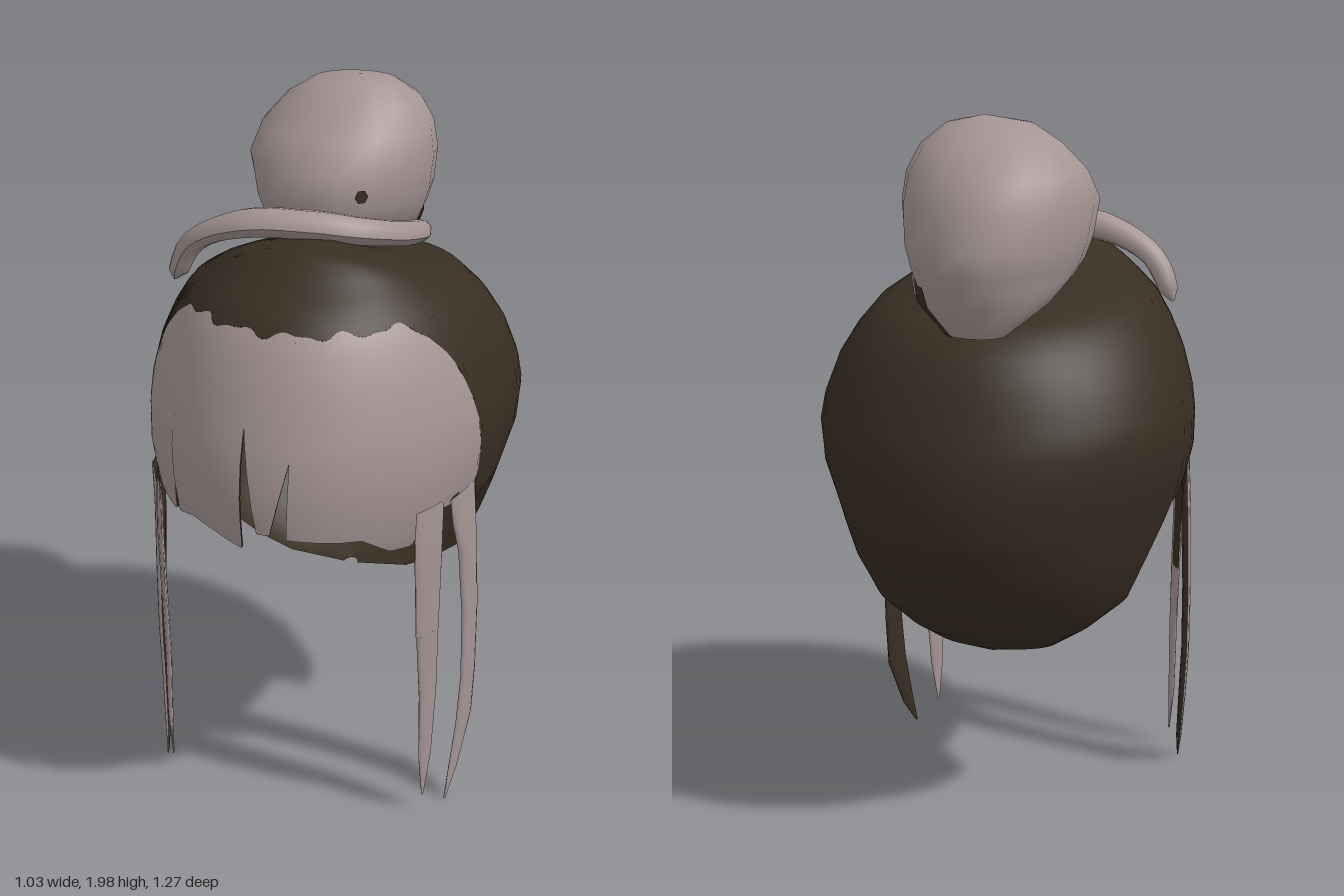
import * as THREE from 'three';
import { mergeVertices } from 'three/addons/utils/BufferGeometryUtils.js';

const { lerp, clamp } = THREE.MathUtils;

// Surface from a grid of points; i runs to the right and j upwards as seen from outside
function grid(nu, nv, point, normal) {
  const pos = [], nor = [], idx = [];
  for (let j = 0; j <= nv; j++) {
    for (let i = 0; i <= nu; i++) {
      pos.push(...point(i / nu, j / nv));
      if (normal) nor.push(...normal(i / nu, j / nv));
      if (i < nu && j < nv) {
        const a = j * (nu + 1) + i, d = a + nu + 1;
        idx.push(a, a + 1, d + 1, a, d + 1, d);
      }
    }
  }
  let g = new THREE.BufferGeometry();
  g.setAttribute('position', new THREE.Float32BufferAttribute(pos, 3));
  g.setIndex(idx);
  if (normal) g.setAttribute('normal', new THREE.Float32BufferAttribute(nor, 3));
  else { g = mergeVertices(g, 1e-4); g.computeVertexNormals(); }
  return g;
}

// Linear interpolation through [x, y] pairs
function along(pairs, x) {
  for (let i = 1; i < pairs.length; i++) {
    const [x0, y0] = pairs[i - 1], [x1, y1] = pairs[i];
    if (x <= x1) return lerp(y0, y1, clamp((x - x0) / (x1 - x0), 0, 1));
  }
  return pairs[pairs.length - 1][1];
}

// Head shell levels: y, back z, z of widest point, front z, half width
const levels = [
  [0.49, -0.23, -0.2, 0.5, 0.02], [0.515, -0.28, -0.18, 0.5, 0.18], [0.57, -0.37, -0.15, 0.55, 0.27],
  [0.65, -0.46, -0.12, 0.58, 0.365], [0.78, -0.57, -0.1, 0.6, 0.42], [0.87, -0.605, -0.07, 0.62, 0.455],
  [0.93, -0.63, -0.05, 0.63, 0.475], [1.05, -0.64, -0.08, 0.635, 0.51], [1.15, -0.625, -0.1, 0.62, 0.517],
  [1.22, -0.6, -0.09, 0.6, 0.508], [1.32, -0.56, -0.06, 0.565, 0.477], [1.4, -0.51, -0.02, 0.53, 0.435],
  [1.47, -0.43, 0.03, 0.49, 0.385], [1.52, -0.22, 0.1, 0.44, 0.32], [1.56, -0.06, 0.14, 0.38, 0.27],
  [1.6, 0.05, 0.2, 0.33, 0.2], [1.63, 0.13, 0.24, 0.29, 0.1], [1.64, 0.25, 0.25, 0.25, 0],
];
const TOP = levels.length - 1;
const levelOf = y => along(levels.map((l, i) => [l[0], i]), y);

function shellPoint(a, u) {
  u = clamp(u, 0, TOP);
  const k = Math.min(Math.floor(u), TOP - 1);
  const [y, zb, zc, zf, w] = levels[k].map((v, i) => lerp(v, levels[k + 1][i], u - k));
  const c = Math.cos(a);
  return [w * Math.sin(a), y, zc + c * (c > 0 ? zf - zc : zc - zb)];
}
function shellNormal(a, u) {
  u = Math.min(u, TOP - 0.05);
  const v = (p, q) => new THREE.Vector3(...p).sub(new THREE.Vector3(...q));
  const da = v(shellPoint(a + 0.05, u), shellPoint(a - 0.05, u));
  const du = v(shellPoint(a, u + 0.6), shellPoint(a, u - 0.6));
  return da.cross(du).normalize().toArray();
}
// Part of the shell between two angles and two height curves
function shellPatch(a0, a1, nu, nv, low, high, inset = 1) {
  const at = (s, t) => {
    const a = lerp(a0, a1, s);
    return [a, lerp(levelOf(low(a)), levelOf(high(a)), t)];
  };
  return grid(nu, nv, (s, t) => {
    const [x, y, z] = shellPoint(...at(s, t));
    return [x * inset, y, z * inset];
  }, (s, t) => shellNormal(...at(s, t)));
}

// Stacked ellipses: rows are y, centre x, centre z, half x, half z, sideways shear, swelling
function loft(rows, a0, a1, nu, shear = 0, swell = 0) {
  return grid(nu, rows.length - 1, (s, t) => {
    const [y, x, z, hx, hz] = rows[Math.round(t * (rows.length - 1))];
    const a = lerp(a0, a1, s), dz = (hz + swell) * Math.cos(a);
    return [x + (hx + swell) * Math.sin(a) + shear * dz, y, z + dz];
  });
}

export function createModel() {
  const group = new THREE.Group();
  const dark = new THREE.MeshStandardMaterial({ color: 0x382e22, side: THREE.DoubleSide });
  dark.name = 'dark brown';
  const pale = new THREE.MeshStandardMaterial({ color: 0xa59494 });
  pale.name = 'dusty pink';
  const add = (name, geometry, material) => {
    const m = new THREE.Mesh(geometry, material);
    m.name = name;
    group.add(m);
    return m;
  };

  // Cap: bowl at the back, side strips above the ears, crown above the fringe (edges overlap a little)
  const EDGE = 1.24, HALF = Math.PI / 2, LAP = 0.03;
  const top = () => 1.64;
  const fringeTop = a => along([[0, 1.475], [0.9, 1.475], [1.02, 1.43], [1.1, 1.37], [1.15, 1.25], [1.2, 1.1],
    [EDGE, 0.97]], Math.abs(a))
    + (Math.abs(a) < 0.95 ? 0.007 * Math.sin(a * 17) + 0.004 * Math.sin(a * 29 + 1) : 0);
  add('capBack', shellPatch(HALF, 3 * HALF, 24, TOP * 2, () => 0.49, top), dark);
  for (const s of [1, -1]) {
    const [a0, a1] = s > 0 ? [EDGE, HALF + LAP] : [-HALF - LAP, -EDGE];
    add('capSide', shellPatch(a0, a1, 4, 30, () => 0.925, top), dark);
  }
  add('capCrown', shellPatch(-EDGE - LAP, EDGE + LAP, 66, 30, fringeTop, top), dark);

  // Fringe: three panels parted by two pointed notches, each with a dark lining
  const panels = [
    [-EDGE, -0.115, 70, [[-EDGE, 0.95], [-1.02, 0.97], [-0.86, 0.96], [-0.63, 0.945], [-0.615, 1.12],
      [-0.6, 0.95], [-0.45, 0.965], [-0.3, 0.95], [-0.115, 0.92]]],
    [-0.125, 0.14, 24, [[-0.125, 1.28], [-0.025, 0.97], [0.05, 0.97], [0.14, 1.17]]],
    [0.14, EDGE, 50, [[0.14, 0.96], [0.42, 0.945], [0.55, 0.94], [0.72, 0.88], [0.86, 0.87],
      [0.92, 0.96], [EDGE, 0.95]]],
  ];
  for (const [a0, a1, n, hem] of panels) {
    const low = a => Math.min(along(hem, a), fringeTop(a));
    add('fringe', shellPatch(a0, a1, n, 14, low, fringeTop), pale);
    add('fringeLining', shellPatch(a0, a1, n, 14, low, fringeTop, 0.99), dark);
  }

  // Side locks: two tapering blades on each side that follow the curve of the head
  const frontLock = [
    [0.07, 0.378, 0.348, 0.002, 0.003], [0.2, 0.383, 0.35, 0.008, 0.023], [0.4, 0.386, 0.342, 0.01, 0.033],
    [0.6, 0.386, 0.357, 0.01, 0.044], [0.8, 0.388, 0.367, 0.01, 0.052], [0.9, 0.388, 0.367, 0.009, 0.055],
    [0.985, 0.389, 0.367, 0.004, 0.054],
  ];
  const rearLock = [
    [0.02, 0.425, 0.275, 0.002, 0.004], [0.1, 0.437, 0.235, 0.008, 0.025], [0.25, 0.455, 0.19, 0.011, 0.045],
    [0.4, 0.463, 0.185, 0.012, 0.04], [0.6, 0.463, 0.185, 0.013, 0.043], [0.8, 0.455, 0.195, 0.015, 0.05],
    [0.9, 0.448, 0.215, 0.012, 0.068], [0.985, 0.446, 0.232, 0.004, 0.078],
  ];
  for (const s of [1, -1]) {
    const side = rows => rows.map(([y, x, ...rest]) => [y, x * s, ...rest]);
    const front = side(frontLock), rear = side(rearLock), turn = 2 * Math.PI;
    add('frontLock', loft(front.slice(0, 4), 0, turn, 10, -0.45 * s), pale);
    // dark patch high up on the inner rear face
    const [f0, f1] = s > 0 ? [Math.PI, 1.5 * Math.PI] : [0.5 * Math.PI, Math.PI];
    add('frontLockUpper', loft(front.slice(3), f1, f0 + turn, 8, -0.45 * s), pale);
    add('frontLockInside', loft(front.slice(3), f0, f1, 4, -0.45 * s), dark);
    const [a0, a1] = s > 0 ? [-0.4, 2.6] : [-2.6, 0.4];
    add('rearLock', loft(rear, a0, a1, 6, -0.2 * s), pale);
    add('rearLockInside', loft(rear, a1, a0 + turn, 6, -0.2 * s), dark);
  }

  // Bun sitting towards the back of the crown
  const bun = [
    [1.45, -0.03, -0.43, 0.08, 0.06], [1.53, -0.03, -0.36, 0.175, 0.18], [1.58, -0.03, -0.275, 0.205, 0.275],
    [1.62, -0.03, -0.25, 0.225, 0.315], [1.68, -0.03, -0.24, 0.245, 0.33], [1.78, -0.03, -0.225, 0.26, 0.315],
    [1.86, -0.025, -0.245, 0.24, 0.255], [1.93, -0.01, -0.245, 0.19, 0.18], [1.98, 0, -0.23, 0.12, 0.1],
    [2.0, 0.02, -0.21, 0, 0],
  ];
  add('bun', loft(bun, 0, Math.PI * 2, 20), pale);
  // Dark hair showing on the underside of the bun and at a small gap above the strand
  add('bunUnderside', loft(bun.slice(0, 3), 1.5, 2.5, 6, 0, 0.005), dark);
  const gap = add('bunGap', new THREE.CircleGeometry(0.02, 6), dark);
  gap.position.set(0.103, 1.73, 0.058);
  gap.lookAt(0.65, 1.73, 0.75);

  // Loose strand wrapped round the foot of the bun
  const path = new THREE.CatmullRomCurve3([
    [-0.425, 1.46, 0.105], [-0.36, 1.58, 0.125], [-0.2, 1.655, 0.145], [-0.02, 1.66, 0.125],
    [0.1, 1.64, 0.075], [0.18, 1.605, -0.04], [0.2, 1.565, -0.2], [0.16, 1.525, -0.36],
  ].map(p => new THREE.Vector3(...p)));
  const SEG = 32, RAD = 8;
  const strand = new THREE.TubeGeometry(path, SEG, 1, RAD);
  const pos = strand.attributes.position, p = new THREE.Vector3();
  for (let i = 0; i < pos.count; i++) {
    const t = Math.floor(i / (RAD + 1)) / SEG, c = path.getPointAt(t);
    const r = along([[0, 0.004], [0.03, 0.03], [0.3, 0.055], [0.5, 0.05], [0.65, 0.042], [0.85, 0.035], [1, 0.01]], t);
    p.fromBufferAttribute(pos, i).sub(c).multiplyScalar(r);
    p.y *= lerp(0.65, 1, t);
    p.add(c);
    pos.setXYZ(i, p.x, p.y, p.z);
  }
  strand.computeVertexNormals();
  add('bunStrand', strand, pale);

  return group;
}
